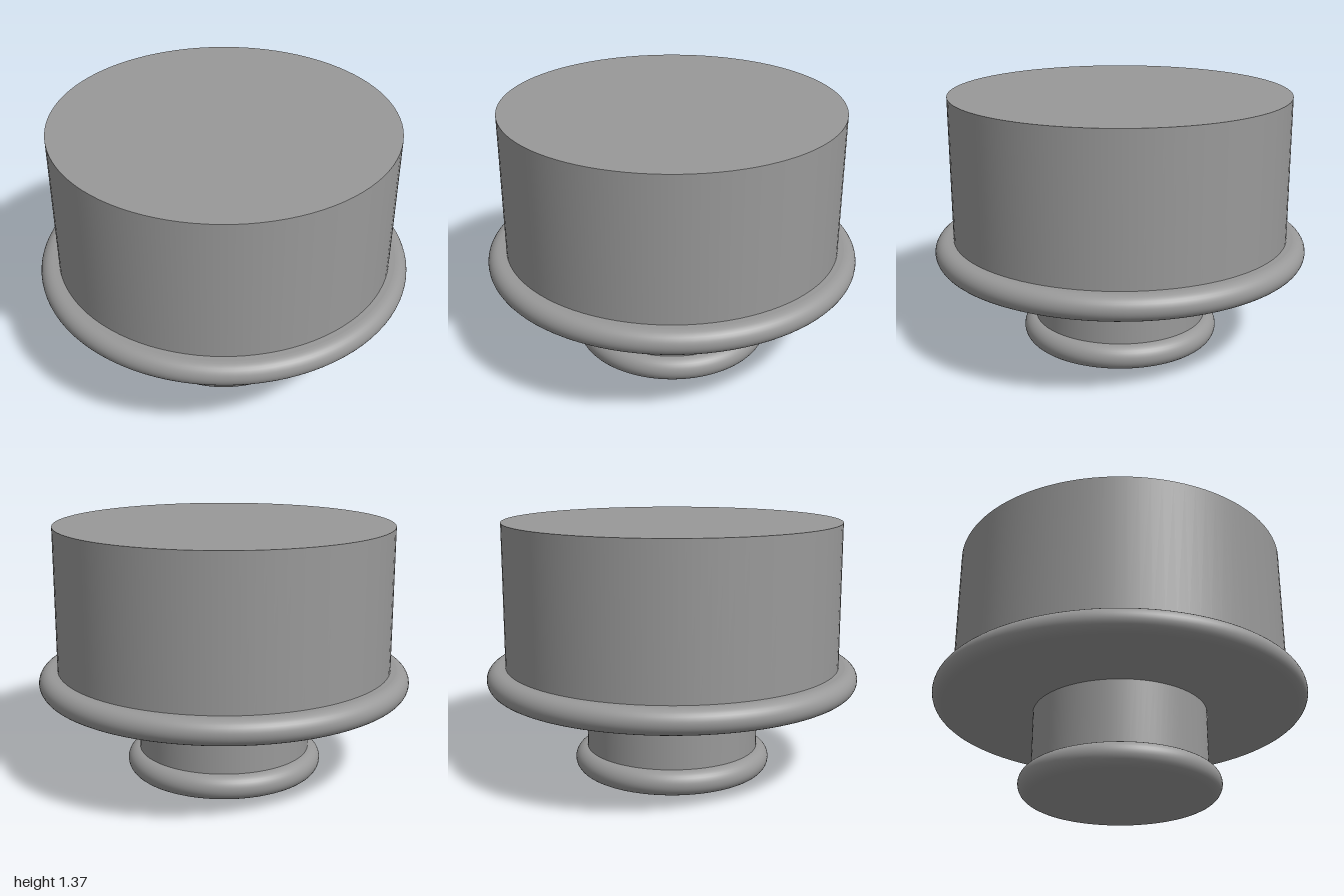
import * as THREE from 'three';

const SEGMENTS = 96;

export function createModel() {
  const group = new THREE.Group();
  const grey = new THREE.MeshStandardMaterial({ color: 0x999999 });
  grey.name = 'grey';

  const add = (name, geometry, y) => {
    const mesh = new THREE.Mesh(geometry, grey);
    mesh.name = name;
    mesh.position.y = y;
    group.add(mesh);
  };

  // Disc with a fully rounded rim, standing on y = 0
  const roundedDisc = (radius, height) => {
    const r = height / 2;
    const flat = radius - r - 0.002; // keeps the flat faces evenly shaded
    const points = [new THREE.Vector2(0, 0), new THREE.Vector2(flat, 0)];
    for (let i = 0; i <= 16; i++) {
      const a = -Math.PI / 2 + (i / 16) * Math.PI;
      points.push(new THREE.Vector2(radius - r + r * Math.cos(a), r + r * Math.sin(a)));
    }
    points.push(new THREE.Vector2(flat, height), new THREE.Vector2(0, height));
    return new THREE.LatheGeometry(points, SEGMENTS);
  };

  // Plain cylinder between two heights, sunk slightly into its neighbours
  const drum = (name, radius, bottom, top) =>
    add(name, new THREE.CylinderGeometry(radius, radius, top - bottom, SEGMENTS), (bottom + top) / 2);

  // Small foot and stem
  add('foot', roundedDisc(0.532, 0.133), 0);
  drum('stem', 0.466, 0.12, 0.48);

  // Wide flange and body
  add('flange', roundedDisc(1, 0.13), 0.468);
  drum('body', 0.9, 0.58, 1.365);

  return group;
}
